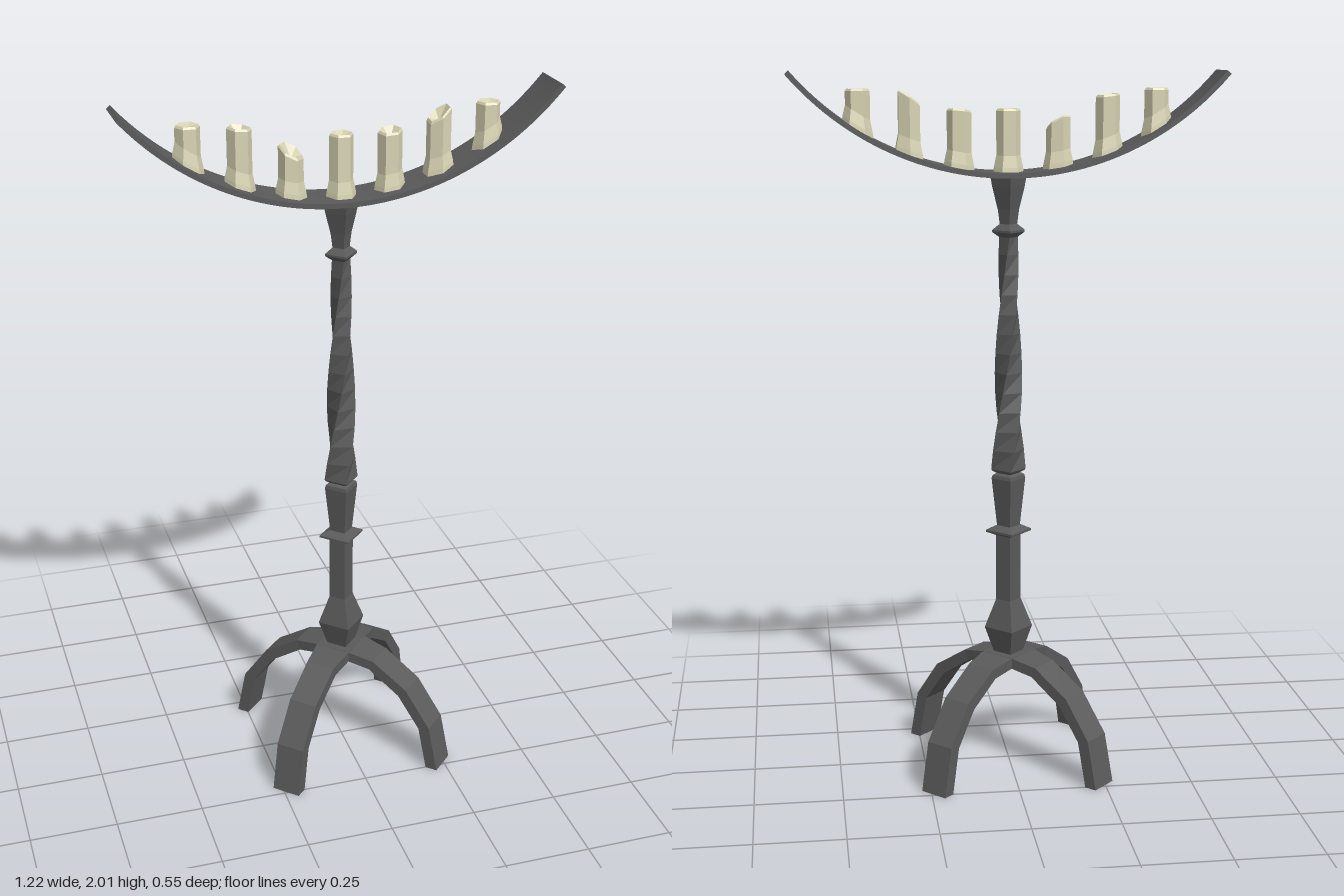
import * as THREE from 'three';

const iron = new THREE.MeshStandardMaterial({ color: 0x5a5a5a });
iron.name = 'dark iron';
const wax = new THREE.MeshStandardMaterial({ color: 0xd8d4b4 });
wax.name = 'cream wax';

// Joins rings of points (counter-clockwise about the path) into a faceted closed skin
function loft(rings) {
  const out = [];
  const tri = (a, b, c) => out.push(...a, ...b, ...c);
  const n = rings[0].length;
  for (let k = 0; k + 1 < rings.length; k++) {
    for (let i = 0; i < n; i++) {
      const j = (i + 1) % n;
      const [a, b, c, d] = [rings[k][i], rings[k][j], rings[k + 1][j], rings[k + 1][i]];
      tri(a, b, c);
      tri(a, c, d);
    }
  }
  const first = rings[0], last = rings[rings.length - 1];
  for (let i = 1; i + 1 < n; i++) {
    tri(first[0], first[i + 1], first[i]);
    tri(last[0], last[i], last[i + 1]);
  }
  const g = new THREE.BufferGeometry();
  g.setAttribute('position', new THREE.Float32BufferAttribute(out, 3));
  g.computeVertexNormals();
  return g;
}

// Horizontal polygon ring; height may be a function of x and z
function ring(sides, r, height, turn = 0) {
  return Array.from({ length: sides }, (_, i) => {
    const a = turn + (i / sides) * Math.PI * 2;
    const x = r * Math.sin(a), z = r * Math.cos(a);
    return [x, typeof height === 'function' ? height(x, z) : height, z];
  });
}

function addMesh(group, name, geometry, material) {
  const m = new THREE.Mesh(geometry, material);
  m.name = name;
  group.add(m);
  return m;
}

const squarePart = (profile) => loft(profile.map(([r, y]) => ring(4, r, y)));

export function createModel() {
  const model = new THREE.Group();
  model.name = 'candelabrum';

  // Two crossing arches make the four legs: outer radius, outer y, inner radius, inner y, half width
  const half = [
    [0.347, 0, 0.311, 0, 0.0425],
    [0.318, 0.14, 0.284, 0.13, 0.0425],
    [0.24, 0.25, 0.215, 0.225, 0.0425],
    [0.13, 0.32, 0.118, 0.29, 0.044],
    [0.05, 0.335, 0.045, 0.305, 0.054],
  ];
  const section = (s) => ([ro, yo, ri, yi, w]) =>
    [[s * ro, yo, -w], [s * ro, yo, w], [s * ri, yi, w], [s * ri, yi, -w]];
  const arch = loft([...half.map(section(-1)), ...[...half].reverse().map(section(1))]);
  for (const side of [1, -1]) {
    addMesh(model, side > 0 ? 'legArchA' : 'legArchB', arch, iron).rotation.y = side * Math.PI / 4;
  }

  // Square post, corners facing the axes
  addMesh(model, 'lowerPost', squarePart([
    [0.04, 0.325], [0.07, 0.41], [0.036, 0.495], [0.036, 0.695],
  ]), iron);
  addMesh(model, 'lowerCollar', squarePart([
    [0.036, 0.688], [0.066, 0.699], [0.066, 0.705], [0.036, 0.718],
  ]), iron);
  addMesh(model, 'vase', squarePart([
    [0.032, 0.705], [0.049, 0.858], [0.046, 0.868], [0.034, 0.874], [0.046, 0.88], [0.05, 0.885],
  ]), iron);

  // Twisted shaft: half a turn while tapering
  const twist = [], steps = 12;
  for (let i = 0; i <= steps; i++) {
    const t = i / steps;
    const r = 0.05 - 0.014 * Math.min(1, t * 1.8) - 0.01 * Math.max(0, (t - 0.6) / 0.4);
    twist.push(ring(4, r, 0.885 + 0.675 * t, Math.PI * t));
  }
  addMesh(model, 'twistedShaft', loft(twist), iron);
  addMesh(model, 'upperCollar', squarePart([
    [0.026, 1.553], [0.046, 1.567], [0.046, 1.573], [0.024, 1.59],
  ]), iron);
  addMesh(model, 'flaredHead', squarePart([
    [0.024, 1.585], [0.03, 1.63], [0.045, 1.69], [0.052, 1.728],
  ]), iron);

  // Curved tray
  const R = 0.804, thick = 0.014, cy = 1.72 + R, spread = 0.862;
  const shape = new THREE.Shape();
  shape.absarc(0, cy, R, -Math.PI / 2 - spread, -Math.PI / 2 + spread, false);
  shape.absarc(0, cy, R - thick, -Math.PI / 2 + spread, -Math.PI / 2 - spread, true);
  shape.closePath();
  const tray = new THREE.ExtrudeGeometry(shape, { depth: 0.136, bevelEnabled: false, curveSegments: 40 });
  tray.translate(0, 0, -0.068);
  addMesh(model, 'curvedTray', tray, iron);

  // Candles: x, top height, slope in x, slope in z, dish depth, turn
  const candles = [
    [-0.415, 1.962, 0, 0, 0.006, Math.PI / 6],
    [-0.278, 1.945, -0.1, 0, 0.03, 0.5],
    [-0.139, 1.872, -0.42, -0.42, 0.02, 0.3],
    [0, 1.907, 0, 0, 0.012, Math.PI / 6],
    [0.137, 1.905, 0.1, -0.1, 0.025, 0.4],
    [0.275, 1.94, 0.68, -0.1, 0.02, 0],
    [0.415, 1.962, 0, 0, 0.008, 0.45],
  ];
  const trayY = (x) => cy - Math.sqrt((R - thick) ** 2 - x * x);
  candles.forEach(([cx, top, sx, sz, dish, turn], i) => {
    const onTray = (lift) => (x) => trayY(cx + x) + lift;
    const rim = (drop) => (x, z) => top + sx * x + sz * z - drop;
    const g = loft([
      ring(6, 0.043, onTray(-0.004), turn),
      ring(6, 0.041, onTray(0.012), turn),
      ring(6, 0.034, onTray(0.045), turn),
      ring(6, 0.034, rim(0.006), turn),
      ring(6, 0.03, rim(0), turn),
      ring(6, 0.004, rim(dish), turn),
    ]);
    addMesh(model, `candle${i + 1}`, g, wax).position.x = cx;
  });

  return model;
}
